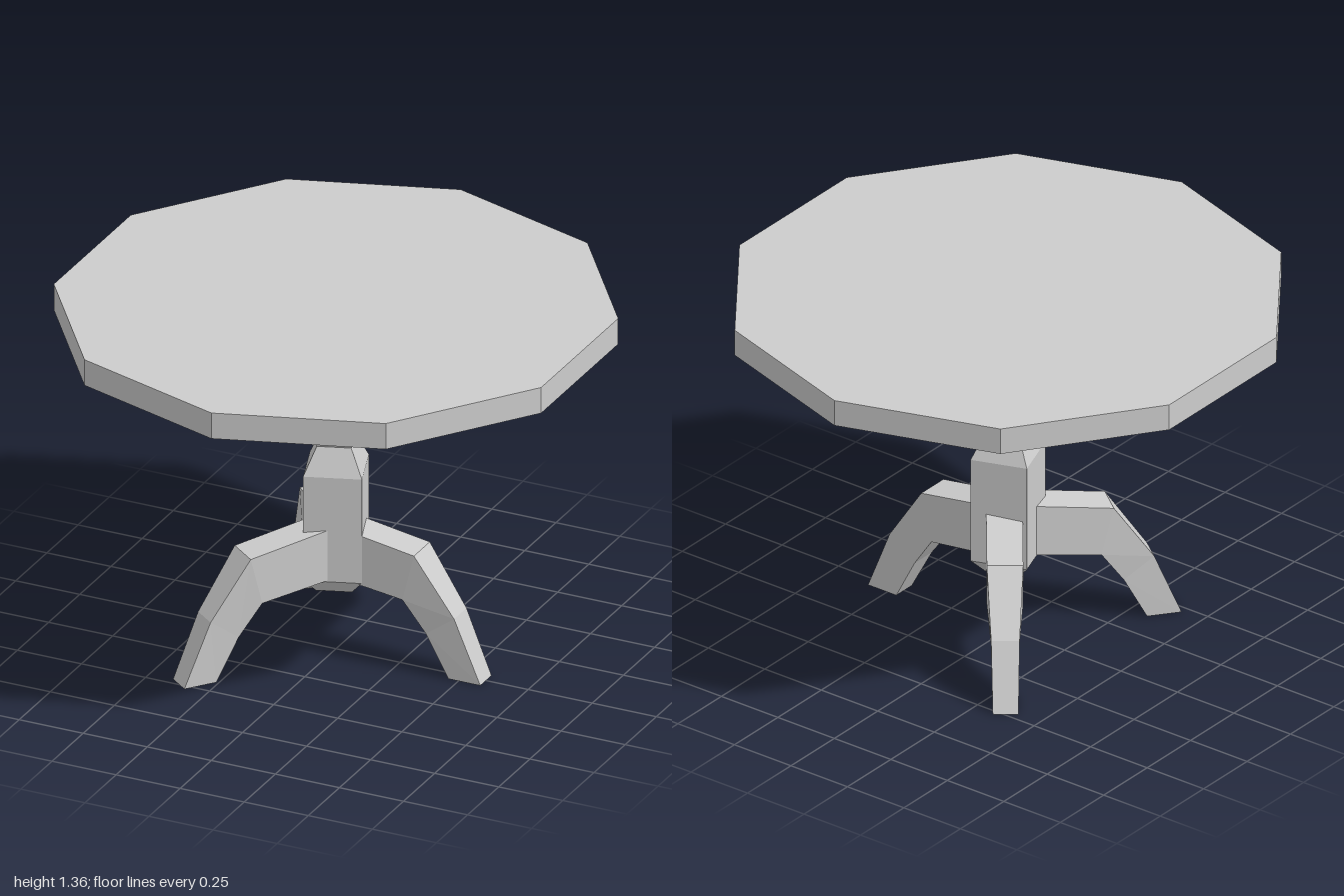
import * as THREE from 'three';

const grey = new THREE.MeshStandardMaterial({ color: 0xcccccc });
grey.name = 'light grey';

// Faceted mesh with one normal per face
function facetedMesh(name, geometry) {
  const flat = geometry.index ? geometry.toNonIndexed() : geometry;
  flat.computeVertexNormals();
  const mesh = new THREE.Mesh(flat, grey);
  mesh.name = name;
  return mesh;
}

// Curved leg running out along +x, lofted through four-cornered sections
function legGeometry() {
  // [top x, top y, underside x, underside y, half width]
  const sections = [
    [0, 0.51, 0, 0.315, 0.064],
    [0.305, 0.46, 0.26, 0.28, 0.064],
    [0.455, 0.24, 0.345, 0.16, 0.05],
    [0.555, 0, 0.43, 0, 0.045],
  ];
  const positions = [];
  for (const [tx, ty, bx, by, w] of sections) {
    positions.push(tx, ty, w, tx, ty, -w, bx, by, -w, bx, by, w);
  }
  const index = [];
  const quad = (a, b, c, d) => index.push(a, b, c, a, c, d);
  const last = (sections.length - 1) * 4;
  for (let a = 0; a < last; a += 4) {
    for (let k = 0; k < 4; k++) {
      const n = (k + 1) % 4;
      quad(a + k, a + 4 + k, a + 4 + n, a + n);
    }
  }
  quad(0, 1, 2, 3);
  quad(last, last + 3, last + 2, last + 1);
  const geometry = new THREE.BufferGeometry();
  geometry.setAttribute('position', new THREE.Float32BufferAttribute(positions, 3));
  geometry.setIndex(index);
  return geometry;
}

export function createModel() {
  const table = new THREE.Group();
  table.name = 'pedestalTable';

  // Ten-sided top
  const top = facetedMesh('tableTop', new THREE.CylinderGeometry(1, 1, 0.1, 10));
  top.position.y = 1.305;
  table.add(top);

  // Four-sided turned column, twisted off the axes
  const profile = [
    [0, 0.255], [0.09, 0.255], [0.147, 0.31], [0.147, 0.715],
    [0.086, 0.815], [0.172, 1.01], [0.172, 1.256],
  ].map(([r, y]) => new THREE.Vector2(r, y));
  const twist = THREE.MathUtils.degToRad(64.2);
  table.add(facetedMesh('column', new THREE.LatheGeometry(profile, 4, twist)));

  // Three legs: one to the left side, a mirrored pair to the right
  const legs = [
    ['leftLeg', 0.03, 0, 0],
    ['frontRightLeg', -0.03, 0.06, 128],
    ['backRightLeg', -0.03, -0.06, -128],
  ];
  for (const [name, x, z, angle] of legs) {
    const leg = facetedMesh(name, legGeometry());
    leg.position.set(x, 0, z);
    leg.rotation.y = -THREE.MathUtils.degToRad(angle);
    table.add(leg);
  }

  return table;
}
